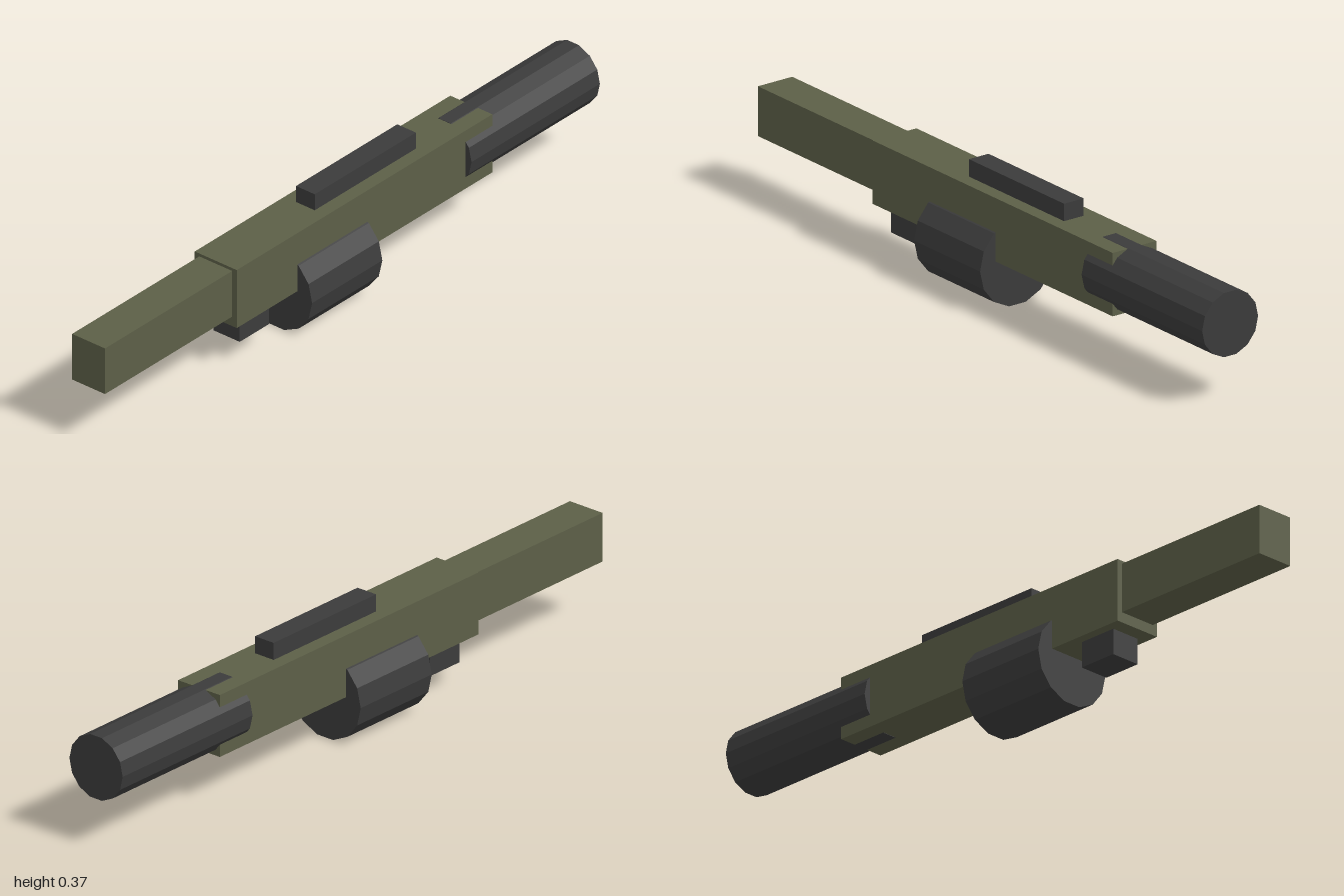
import * as THREE from 'three';

export function createModel() {
  const model = new THREE.Group();
  model.name = 'launcher';

  const olive = new THREE.MeshStandardMaterial({ color: 0x5c5f47, flatShading: true });
  olive.name = 'olive';
  const darkGrey = new THREE.MeshStandardMaterial({ color: 0x3b3b3b, flatShading: true });
  darkGrey.name = 'dark grey';

  const add = (name, geometry, material, x, y) => {
    const mesh = new THREE.Mesh(geometry, material);
    mesh.name = name;
    mesh.position.set(x, y, 0);
    model.add(mesh);
  };

  // Box given by its x and y limits and its depth
  const box = (name, material, x0, x1, y0, y1, depth) =>
    add(name, new THREE.BoxGeometry(x1 - x0, y1 - y0, depth), material, (x0 + x1) / 2, (y0 + y1) / 2);

  // 14-sided cylinder lying along x
  const tube = (name, material, x0, x1, y, radius) =>
    add(name, new THREE.CylinderGeometry(radius, radius, x1 - x0, 14).rotateZ(Math.PI / 2), material, (x0 + x1) / 2, y);

  // Body and stock
  box('receiver', olive, -0.475, 0.58, 0.14, 0.322, 0.148);
  box('stock', olive, -1, -0.475, 0.17, 0.313, 0.116);

  // Barrel and drum
  tube('barrel', darkGrey, 0.47, 1, 0.231, 0.0945);
  tube('drum', darkGrey, -0.225, 0.065, 0.123, 0.126);

  // Sight rail and grip
  box('topRail', darkGrey, -0.105, 0.313, 0.31, 0.372, 0.066);
  box('grip', darkGrey, -0.43, -0.31, 0.065, 0.15, 0.092);

  return model;
}
